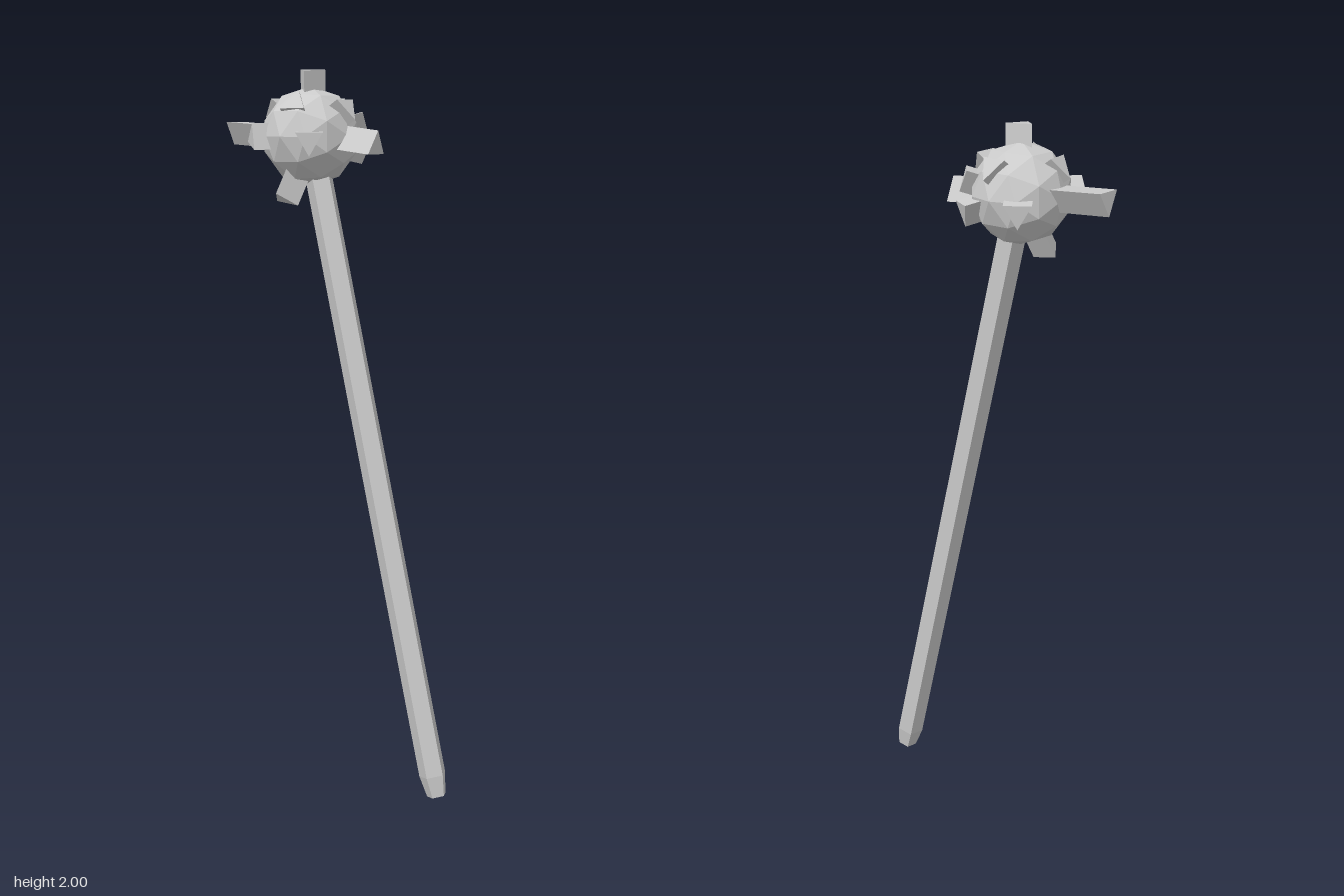
import * as THREE from 'three';

const material = new THREE.MeshStandardMaterial({ color: 0xcccccc, flatShading: true });
const headCentre = new THREE.Vector3(0, 1.82, -0.097);

// Triangular prism from inside the head to the given end point.
// The first corner of the section points upward, turned clockwise by roll.
function makeSpike(name, end, roll, upHint = [0, 1, 0]) {
  const axis = new THREE.Vector3(...end).sub(headCentre);
  const length = axis.length();
  axis.normalize();
  const across = new THREE.Vector3(...upHint).cross(axis).normalize();
  const depth = new THREE.Vector3().crossVectors(across, axis);

  const geometry = new THREE.CylinderGeometry(0.042, 0.042, length, 3, 1, false, Math.PI - roll);
  geometry.translate(0, length / 2, 0);
  const spike = new THREE.Mesh(geometry, material);
  spike.name = name;
  spike.quaternion.setFromRotationMatrix(new THREE.Matrix4().makeBasis(across, axis, depth));
  spike.position.copy(headCentre);
  return spike;
}

export function createModel() {
  const model = new THREE.Group();
  model.name = 'spikedMace';

  // Five-sided leaning shaft with a tapered foot
  const profile = [[0, 0], [0.028, 0], [0.039, 0.06], [0.039, 1.8]]
    .map(([r, y]) => new THREE.Vector2(r, y));
  const shaft = new THREE.Mesh(
    new THREE.LatheGeometry(profile, 5, THREE.MathUtils.degToRad(-10)), material);
  shaft.name = 'shaft';
  shaft.position.set(0, 0.009, 0.344);
  shaft.rotation.x = -0.237;
  model.add(shaft);

  // Faceted ball
  const head = new THREE.Mesh(new THREE.IcosahedronGeometry(0.134, 1), material);
  head.name = 'head';
  head.position.copy(headCentre);
  model.add(head);

  // Spikes: name, end centre, roll, optional up direction
  const down = Math.PI;
  const spikes = [
    ['topSpike', [-0.01, 1.997, -0.09], 0.25, [0, 0, -1]],
    ['longBackSpike', [0.002, 1.838, -0.372], down],
    ['longFrontSpike', [0.002, 1.795, 0.125], 0],
    ['lowerRightSpike', [-0.09, 1.65, -0.12], 0.3],
    ['upperFrontSpike', [0.003, 1.9, 0.03], down],
    ['upperBackSpike', [-0.02, 1.905, -0.21], down],
    ['upperRightSpike', [-0.095, 1.91, -0.078], 0],
    ['upperLeftSpike', [0.112, 1.905, -0.085], down],
    ['upperFrontLeftSpike', [0.095, 1.865, 0.015], down],
    ['backRightSpike', [-0.135, 1.815, -0.195], 0.3],
    ['backLeftSpike', [0.133, 1.8, -0.188], down],
    ['frontRightSpike', [-0.127, 1.81, -0.003], down],
    ['frontLeftSpike', [0.138, 1.785, -0.013], down],
  ];
  for (const spike of spikes) model.add(makeSpike(...spike));

  return model;
}
